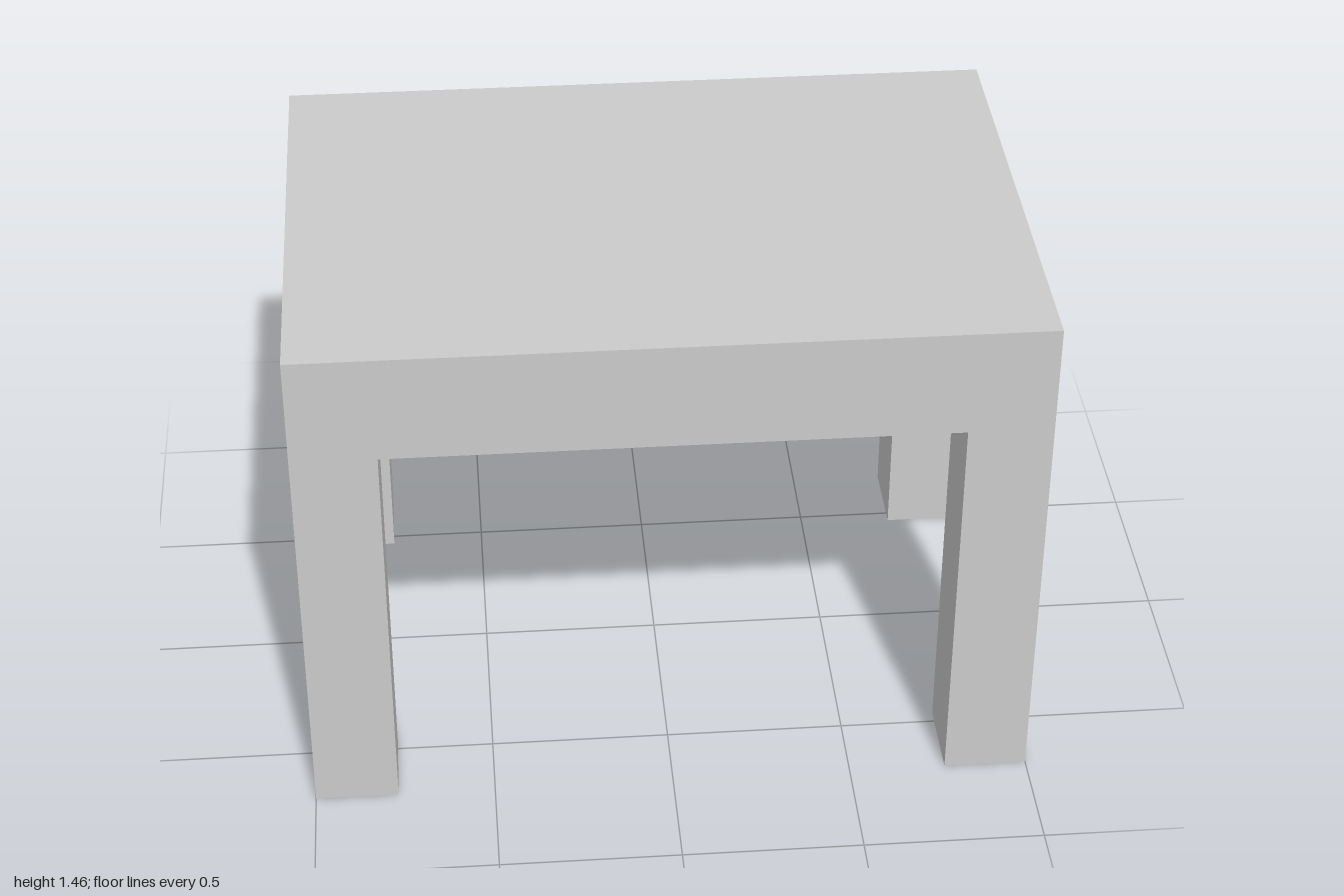
import * as THREE from 'three';

const WIDTH = 2, DEPTH = 1.386, HEIGHT = 1.463;
const LEG = 0.23, LEG_HEIGHT = 1.156;

export function createModel() {
  const table = new THREE.Group();
  table.name = 'table';
  const material = new THREE.MeshStandardMaterial({ color: 0xcccccc, flatShading: true });

  const addBox = (name, w, h, d, x, y, z) => {
    const mesh = new THREE.Mesh(new THREE.BoxGeometry(w, h, d), material);
    mesh.name = name;
    mesh.position.set(x, y, z);
    table.add(mesh);
  };

  // Thick slab top
  const slab = HEIGHT - LEG_HEIGHT;
  addBox('tableTop', WIDTH, slab, DEPTH, 0, LEG_HEIGHT + slab / 2, 0);

  // Four square legs, flush with the corners of the top
  for (const [zName, sz] of [['front', 1], ['back', -1]]) {
    for (const [xName, sx] of [['Left', 1], ['Right', -1]]) {
      addBox(`${zName}${xName}Leg`, LEG, LEG_HEIGHT, LEG,
        sx * (WIDTH - LEG) / 2, LEG_HEIGHT / 2, sz * (DEPTH - LEG) / 2);
    }
  }

  return table;
}
